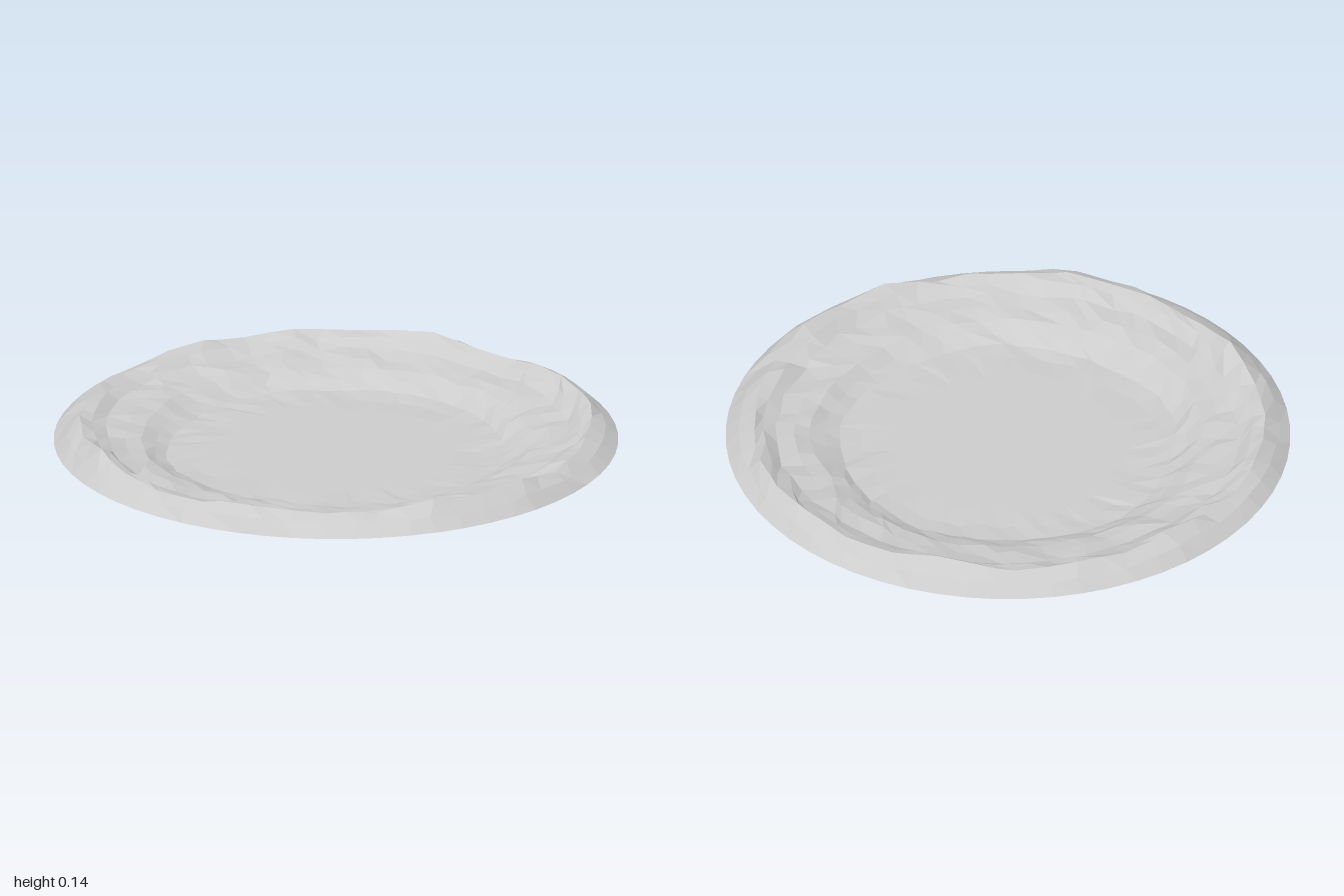
import * as THREE from 'three';

const SEGMENTS = 60;

// Profile rows from the outer edge to the centre: radius, height, radial jitter, height jitter
const PROFILE = [
  [1.0, 0.05, 0, 0],
  [0.955, 0.085, 0.008, 0.008],
  [0.905, 0.115, 0.014, 0.008],
  [0.865, 0.102, 0.014, 0.009],
  [0.82, 0.078, 0.016, 0.008],
  [0.75, 0.07, 0.018, 0.008],
  [0.69, 0.058, 0.014, 0.006],
  [0.64, 0.034, 0.014, 0.006],
  [0.595, 0.013, 0.016, 0.004],
  [0.52, 0.009, 0.03, 0.004],
  [0.42, 0.01, 0.03, 0],
  [0, 0.01, 0, 0],
];

// Crest heights around the rim, starting at the front and turning towards +x
const CREST = [0.122, 0.142, 0.108, 0.118, 0.108, 0.112, 0.122, 0.11,
  0.126, 0.108, 0.112, 0.14, 0.128, 0.108, 0.12, 0.11,
  0.142, 0.12, 0.108, 0.132, 0.112, 0.108, 0.118, 0.142,
  0.118, 0.108, 0.114, 0.134, 0.124, 0.108, 0.11, 0.14];

// Seeded noise in -1..1
function noise(a, b) {
  const s = Math.sin(a * 127.1 + b * 311.7 + 4.3) * 43758.5453;
  return (s - Math.floor(s)) * 2 - 1;
}

function crestAt(i) {
  const t = (i / SEGMENTS) * CREST.length;
  const k = Math.floor(t);
  return THREE.MathUtils.lerp(CREST[k % CREST.length], CREST[(k + 1) % CREST.length], t - k);
}

export function createModel() {
  const group = new THREE.Group();
  group.name = 'crater';

  const points = PROFILE.map(([r, y]) => new THREE.Vector2(r, y));
  const geometry = new THREE.LatheGeometry(points, SEGMENTS);
  const position = geometry.attributes.position;

  // Roughen the rim, terrace and inner wall; the outer edge and floor stay even
  for (let i = 0; i <= SEGMENTS; i++) {
    const s = i % SEGMENTS;
    const angle = (s / SEGMENTS) * Math.PI * 2;
    const lift = crestAt(s) - 0.115;
    PROFILE.forEach(([r, y, dr, dy], j) => {
      const wave = 0.5 * Math.sin(angle * 5 + j * 0.6) + 0.5 * noise(s, j);
      const radius = r + dr * wave;
      const a = angle + (dr > 0 ? 0.035 * noise(s + 71, j) : 0);
      const weight = Math.max(0, 1 - Math.abs(r - 0.9) / 0.1);
      const height = Math.max(0, y + lift * weight + dy * noise(s + 17, j + 5));
      position.setXYZ(i * PROFILE.length + j,
        radius * Math.sin(a), height, radius * Math.cos(a));
    });
  }
  geometry.computeVertexNormals();

  // One thin, faceted ground surface
  const material = new THREE.MeshStandardMaterial({
    color: 0xcccccc, flatShading: true, side: THREE.DoubleSide,
  });
  const surface = new THREE.Mesh(geometry, material);
  surface.name = 'craterSurface';
  group.add(surface);
  return group;
}
